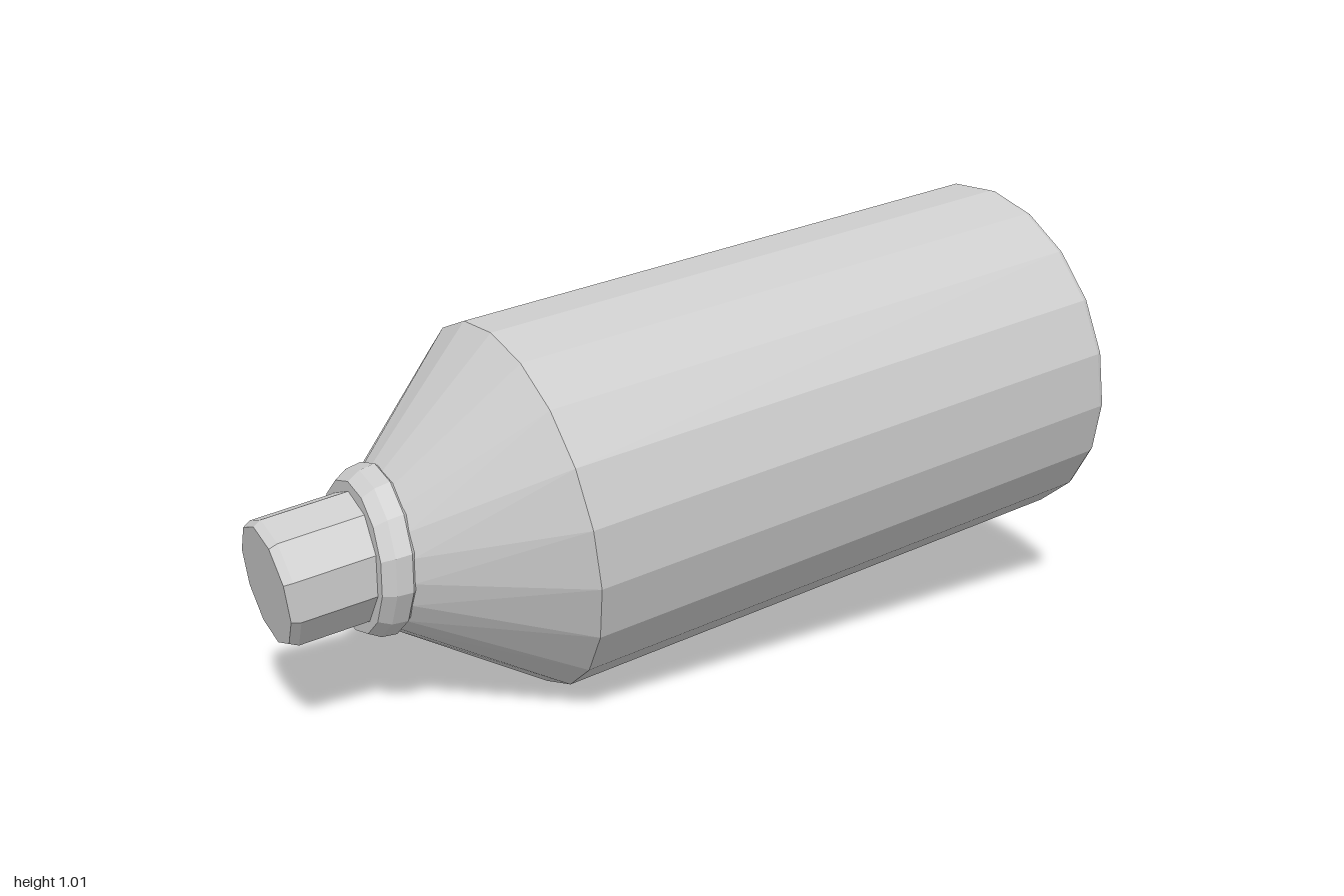
import * as THREE from 'three';

const TILT = 0.1384; // lean of the bottle's axis, radians

// Turned part: profile rows are [radius, height along axis, lean]; a leaning ring stands upright in the world.
function turned(name, rows, sides, material) {
  const points = rows.map(([r, h]) => new THREE.Vector2(r, h));
  const geometry = new THREE.LatheGeometry(points, sides, Math.PI / sides);
  const pos = geometry.attributes.position;
  for (let i = 0; i < pos.count; i++) {
    const lean = rows[i % rows.length][2] || 0;
    pos.setY(i, pos.getY(i) - lean * Math.tan(TILT) * pos.getX(i));
  }
  geometry.computeVertexNormals();
  const mesh = new THREE.Mesh(geometry, material);
  mesh.name = name;
  return mesh;
}

export function createModel() {
  const group = new THREE.Group();
  group.name = 'bottle';
  const material = new THREE.MeshStandardMaterial({ color: 0xcccccc, flatShading: true });

  const bottle = new THREE.Group();
  bottle.name = 'tiltedBottle';

  // flat base, straight wall and conical shoulder
  bottle.add(turned('body', [
    [0, 0], [0.413, 0], [0.418, 0.012], [0.418, 1.384], [0.176, 1.686, 1], [0, 1.686, 1],
  ], 20, material));

  // tapered collar round the foot of the neck
  bottle.add(turned('collar', [
    [0, 1.682, 1], [0.178, 1.682, 1], [0.186, 1.69, 1], [0.181, 1.725, 1], [0.165, 1.752, 1], [0, 1.752, 1],
  ], 14, material));

  // short neck with a softened, closed tip
  bottle.add(turned('neck', [
    [0, 1.73, 1], [0.144, 1.73, 1], [0.142, 1.925], [0.132, 1.943], [0, 1.943],
  ], 10, material));

  // base centre high on the left, neck pointing down to the right side
  bottle.rotation.z = Math.PI / 2 + TILT;
  bottle.position.set(0.94, 0.605, 0);
  group.add(bottle);
  return group;
}
